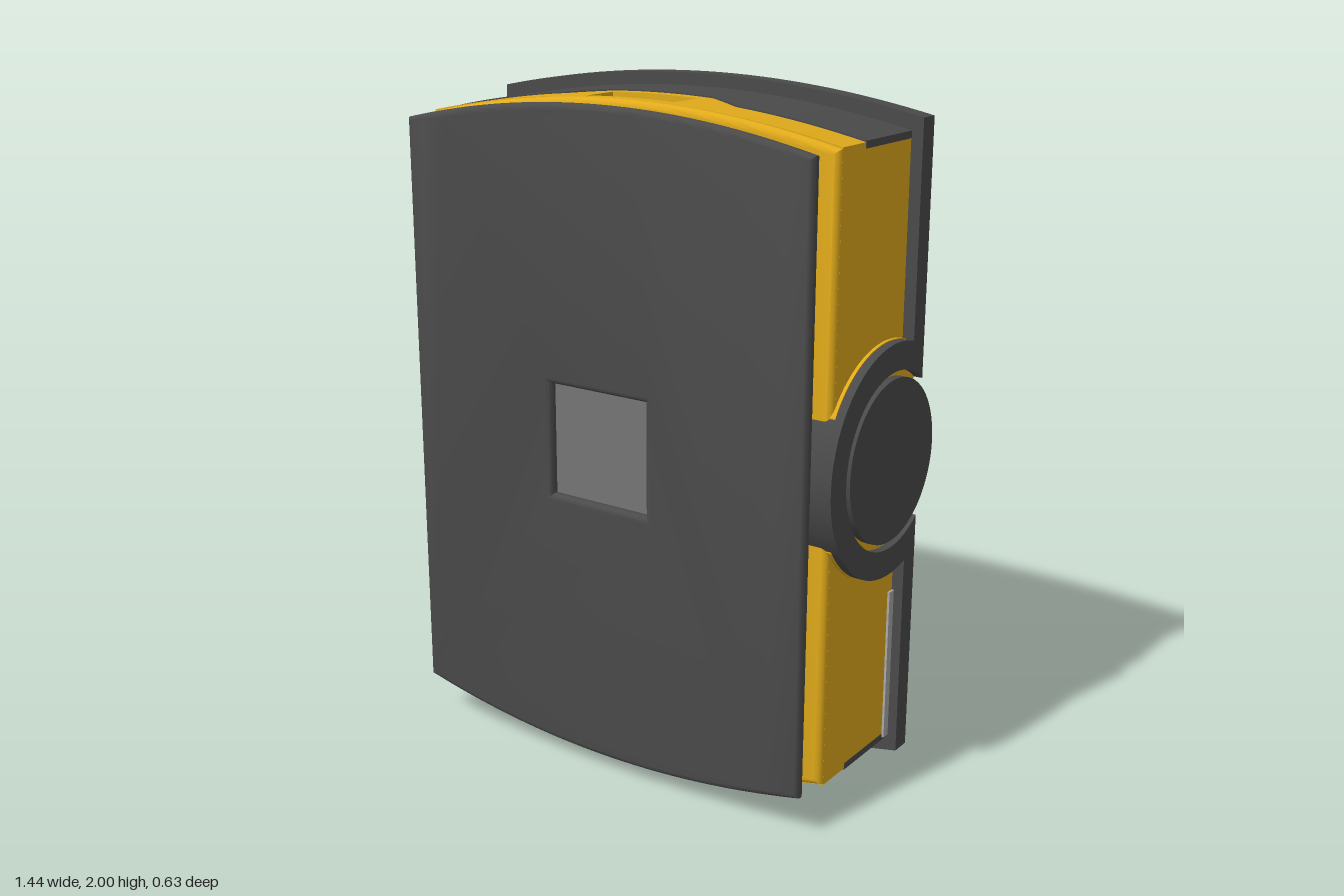
import * as THREE from 'three';
import { toCreasedNormals } from 'three/addons/utils/BufferGeometryUtils.js';

const yellow = new THREE.MeshStandardMaterial({ color: 0xe0aa1a });
const dark = new THREE.MeshStandardMaterial({ color: 0x4a4a4a });
const midGrey = new THREE.MeshStandardMaterial({ color: 0x757575 });
const lightGrey = new THREE.MeshStandardMaterial({ color: 0xaaaaaa });

const DROP = 0.075;          // how far the bowed ends fall at the corners
const WHEEL_Z = -0.08;

// Outline with straight sides and bowed ends, centred on y = 1.
// notch: [x, halfHeight] cut into both sides; pocket: [halfWidth, depth] cut into the top
function outline(half, w, { notch, pocket } = {}) {
  const bow = (x) => half - DROP * (x / w) ** 2;
  const pts = [];
  const N = 32;
  for (let i = 0; i <= N; i++) {
    const x = -w + (2 * w * i) / N;
    pts.push([x, 1 - bow(x)]);
  }
  if (notch) pts.push([w, 1 - notch[1]], [notch[0], 1 - notch[1]], [notch[0], 1 + notch[1]], [w, 1 + notch[1]]);
  let cut = false;
  for (let i = 0; i <= N; i++) {
    const x = w - (2 * w * i) / N;
    if (pocket && Math.abs(x) <= pocket[0]) {
      if (!cut) {
        const [p, d] = pocket;
        pts.push([p, 1 + bow(p)], [p, 1 + half - d], [-p, 1 + half - d], [-p, 1 + bow(p)]);
        cut = true;
      }
    } else pts.push([x, 1 + bow(x)]);
  }
  if (notch) pts.push([-w, 1 + notch[1]], [-notch[0], 1 + notch[1]], [-notch[0], 1 - notch[1]], [-w, 1 - notch[1]]);
  return new THREE.Shape(pts.map((p) => new THREE.Vector2(...p)));
}

function slab(shape, z0, z1, bevel = 0) {
  const geo = new THREE.ExtrudeGeometry(shape, {
    depth: z1 - z0 - 2 * bevel, curveSegments: 48,
    bevelEnabled: bevel > 0, bevelSize: bevel, bevelThickness: bevel, bevelSegments: 5,
  });
  geo.translate(0, 0, z0 + bevel);
  return toCreasedNormals(geo, 0.5);
}

// Extrude a side-on shape (drawn around the wheel axle) between two x positions
function sideSlab(shape, x0, x1) {
  return slab(shape, Math.min(x0, x1), Math.max(x0, x1)).rotateY(Math.PI / 2).translate(0, 1, WHEEL_Z);
}

export function createModel() {
  const model = new THREE.Group();
  const add = (name, geo, mat) => {
    const mesh = new THREE.Mesh(geo, mat);
    mesh.name = name;
    model.add(mesh);
    return mesh;
  };

  // Back plate with a coloured rear skin
  const plate = outline(1, 0.72, { notch: [0.61, 0.255] });
  add('backPlate', slab(plate, -0.235, -0.175), dark);
  add('backSkin', new THREE.ShapeGeometry(plate).rotateY(Math.PI).translate(0, 0, -0.237), yellow);

  // Case, layered so the top has an open pocket, with a rounded front
  const body = outline(0.96, 0.685);
  add('caseBack', slab(body, -0.178, 0.035), yellow);
  add('casePocket', slab(outline(0.96, 0.685, { pocket: [0.145, 0.06] }), 0.035, 0.15), yellow);
  add('caseFront', slab(body, 0.15, 0.186), yellow);
  add('caseFrontEdge', slab(outline(0.94, 0.665), 0.16, 0.205, 0.02), yellow);

  // Dark inlays on both ends, stepping back around the pocket
  for (const end of [1, -1]) {
    const geo = new THREE.BoxGeometry(1.372, 0.02, 1, 120, 1, 1);
    const p = geo.attributes.position;
    for (let i = 0; i < p.count; i++) {
      const x = p.getX(i);
      const front = 0.07 * THREE.MathUtils.clamp((Math.abs(x) - 0.17) / 0.12, 0, 1);
      p.setZ(i, p.getZ(i) > 0 ? front : -0.176);
      p.setY(i, 0.954 + p.getY(i) - DROP * (x / 0.685) ** 2);
    }
    if (end < 0) geo.rotateZ(Math.PI);
    geo.translate(0, 1, 0);
    geo.computeVertexNormals();
    add(end > 0 ? 'topInlay' : 'bottomInlay', geo, dark);
  }

  // Raised pad below and small stub on the front
  add('bottomPad', new THREE.BoxGeometry(0.28, 0.04, 0.115).translate(0, 0.045, 0.0975), yellow);
  add('frontStub', new THREE.CylinderGeometry(0.02, 0.02, 0.06, 20).rotateX(Math.PI / 2).translate(0, 0.125, 0.22), dark);

  // Flared square neck carrying the front panel
  const neck = [];
  for (let i = 0; i <= 12; i++) {
    const t = (i / 12) * 2 - 1;
    neck.push(new THREE.Vector2((0.165 + 0.025 * t ** 4) * Math.SQRT2, 0.242 + 0.042 * t));
  }
  const neckGeo = new THREE.LatheGeometry(neck, 4).rotateY(Math.PI / 4).rotateX(Math.PI / 2).translate(0, 1, 0);
  add('neck', toCreasedNormals(neckGeo, 0.7), yellow);
  add('neckBand', new THREE.BoxGeometry(0.334, 0.334, 0.02).translate(0, 1, 0.237), dark);

  // Front panel with rounded rim and a square window
  const panel = outline(0.937, 0.66);
  const h = 0.183;
  panel.holes.push(new THREE.Path([[-h, 1 - h], [-h, 1 + h], [h, 1 + h], [h, 1 - h]].map((q) => new THREE.Vector2(...q))));
  add('frontPanel', slab(panel, 0.276, 0.316, 0.018), dark);
  add('window', new THREE.BoxGeometry(0.36, 0.36, 0.012).translate(0, 1, 0.284), midGrey);

  // Side wheels, their guard rings, fairings and lower strips
  const a0 = Math.acos(0.155 / 0.335);
  const a1 = Math.acos(0.155 / 0.255);
  const ring = new THREE.Shape();
  ring.absarc(0, 0, 0.335, a0, 2 * Math.PI - a0, false);
  ring.absarc(0, 0, 0.255, 2 * Math.PI - a1, a1, true);
  const fairing = new THREE.Shape(Array.from({ length: 96 }, (_, i) => {
    const a = (i / 96) * 2 * Math.PI;
    return new THREE.Vector2(THREE.MathUtils.clamp(0.338 * Math.cos(a), -0.28, 0.15), 0.338 * Math.sin(a));
  }));
  for (const s of [1, -1]) {
    const side = s > 0 ? 'left' : 'right';
    add(side + 'Guard', sideSlab(ring, s * 0.61, s * 0.72), dark);
    add(side + 'Fairing', sideSlab(fairing, s * 0.612, s * (s > 0 ? 0.695 : 0.71)), yellow);
    const wheel = new THREE.CylinderGeometry(0.235, 0.235, 0.11, 64).rotateZ(Math.PI / 2);
    add(side + 'Wheel', wheel.translate(s * 0.665, 1, WHEEL_Z), dark);
    add(side + 'Strip', new THREE.BoxGeometry(0.02, 0.46, 0.025).translate(s * 0.682, 0.35, -0.1625), lightGrey);
  }
  return model;
}
